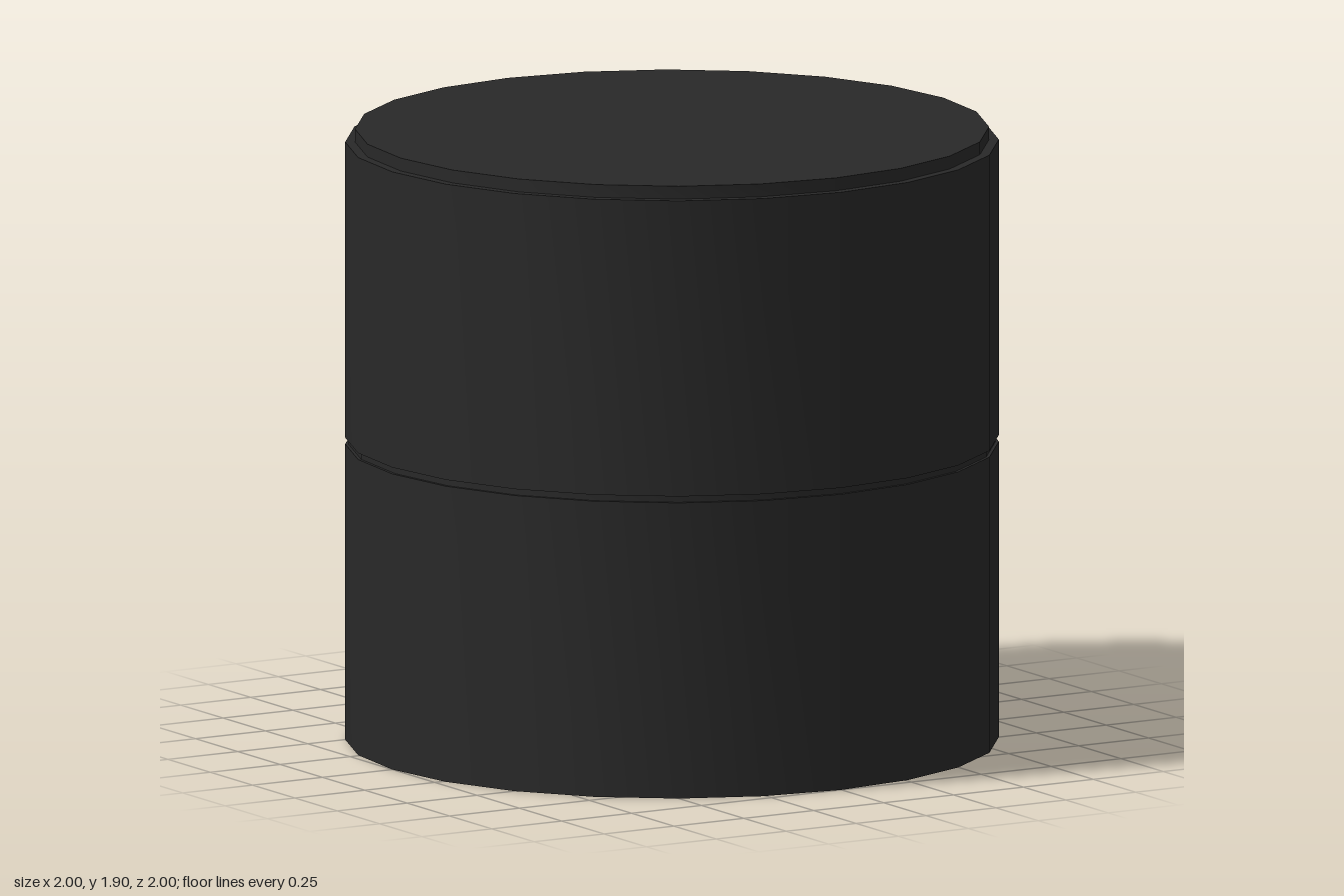
import * as THREE from 'three';
import { toCreasedNormals } from 'three/addons/utils/BufferGeometryUtils.js';

const SIDES = 24;

// Turned part from a [radius, height] profile: smooth around, crisp at the steps
function turned(name, profile, material) {
  const points = profile.map(([r, y]) => new THREE.Vector2(r, y));
  const geometry = toCreasedNormals(new THREE.LatheGeometry(points, SIDES), 0.45);
  const mesh = new THREE.Mesh(geometry, material);
  mesh.name = name;
  return mesh;
}

export function createModel() {
  const group = new THREE.Group();
  group.name = 'surfaceDownlight';

  const black = new THREE.MeshStandardMaterial({ color: 0x282828 });
  const grey = new THREE.MeshStandardMaterial({ color: 0xcccccc, side: THREE.DoubleSide });

  // Lower housing with its stepped rim and tapered baffle inside the opening
  group.add(turned('lowerHousing', [
    [0.645, 0.22], [0.65, 0.19], [0.83, 0.08], [0.84, 0.06], [0.9, 0.06], [0.93, 0.03],
    [0.94, 0], [1, 0], [1, 0.92], [0.98, 0.92],
  ], black));

  // Recessed shadow gap between the two housings
  group.add(turned('shadowGap', [[0.99, 0.91], [0.99, 0.95]], black));

  // Upper housing
  group.add(turned('upperHousing', [
    [0.98, 0.94], [1, 0.94], [1, 1.86], [0.96, 1.86],
  ], black));

  // Ceiling mounting plate
  group.add(turned('mountingPlate', [
    [0.97, 1.85], [0.97, 1.9], [0, 1.9],
  ], black));

  // Concave reflector bowl, from its apex down to the baffle
  const bowl = [];
  for (let i = 0; i <= 12; i++) {
    const a = (i / 12) * Math.PI / 2;
    bowl.push([0.645 * Math.sin(a), 0.21 + 0.5 * Math.cos(a)]);
  }
  group.add(turned('reflectorBowl', bowl, grey));

  return group;
}
